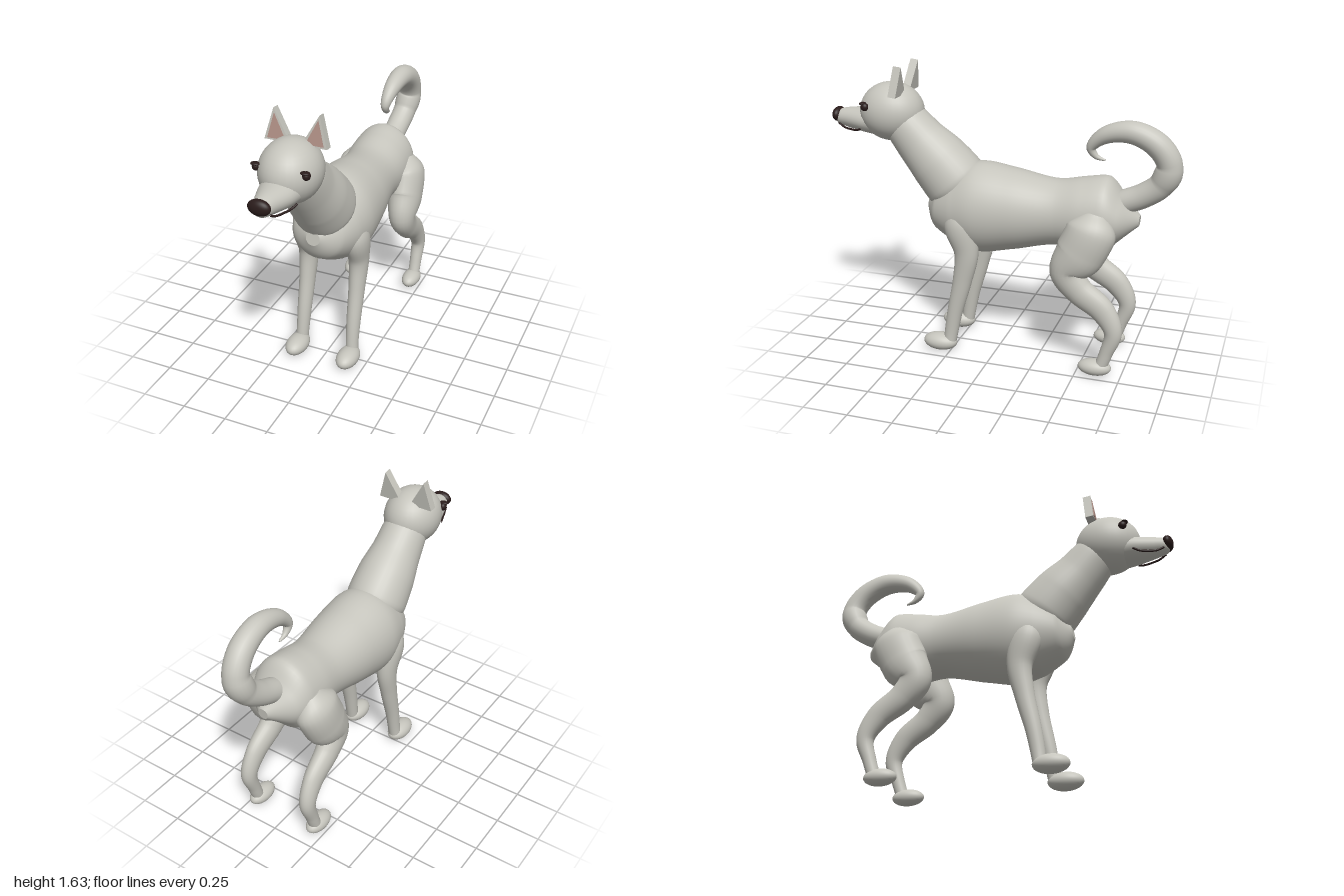
import * as THREE from 'three';

const fur = new THREE.MeshStandardMaterial({ color: 0xc6c5bd });
fur.name = 'grey fur';
const pink = new THREE.MeshStandardMaterial({ color: 0xb5948a });
pink.name = 'inner ear pink';
const dark = new THREE.MeshStandardMaterial({ color: 0x2a1c1b });
dark.name = 'dark brown';

// Smooth skin through sections [x, y, z, halfWidth, halfHeight], with closed ends
function loft(sections, steps = 48, sides = 32) {
  const path = new THREE.CatmullRomCurve3(sections.map(s => new THREE.Vector3(s[0], s[1], s[2])));
  const size = new THREE.CatmullRomCurve3(sections.map(s => new THREE.Vector3(s[3], s[4] ?? s[3], 0)));
  const pos = [], index = [];
  const ring = t => {
    const c = path.getPoint(t), r = size.getPoint(t), tan = path.getTangent(t);
    const up = new THREE.Vector3().crossVectors(tan, new THREE.Vector3(1, 0, 0)).normalize();
    const side = new THREE.Vector3().crossVectors(up, tan).normalize();
    for (let j = 0; j < sides; j++) {
      const a = j / sides * Math.PI * 2;
      const p = c.clone().addScaledVector(side, Math.max(r.x, 0.002) * Math.cos(a))
        .addScaledVector(up, Math.max(r.y, 0.002) * Math.sin(a));
      pos.push(p.x, p.y, p.z);
    }
    return c;
  };
  for (let i = 0; i <= steps; i++) ring(i / steps);
  for (let i = 0; i < steps; i++) for (let j = 0; j < sides; j++) {
    const k = (j + 1) % sides;
    const a = i * sides + j, b = i * sides + k, c = a + sides, d = b + sides;
    index.push(a, b, d, a, d, c);
  }
  for (const t of [0, 1]) {
    const base = pos.length / 3, c = ring(t), mid = pos.length / 3;
    pos.push(c.x, c.y, c.z);
    for (let j = 0; j < sides; j++) {
      const a = base + j, b = base + (j + 1) % sides;
      if (t) index.push(mid, a, b); else index.push(mid, b, a);
    }
  }
  const g = new THREE.BufferGeometry();
  g.setAttribute('position', new THREE.Float32BufferAttribute(pos, 3));
  g.setIndex(index);
  g.computeVertexNormals();
  return g;
}

export function createModel() {
  const dog = new THREE.Group();
  dog.name = 'dog';
  const add = (name, geometry, material = fur) => {
    const m = new THREE.Mesh(geometry, material);
    m.name = name;
    dog.add(m);
    return m;
  };
  const ball = (name, p, r, material = fur) => {
    const m = add(name, new THREE.SphereGeometry(1, 32, 20), material);
    m.position.set(...p);
    m.scale.set(...r);
    return m;
  };

  // Body, from rump to chest
  add('torso', loft([
    [0, 0.86, -0.785, 0.03, 0.03], [0, 0.865, -0.69, 0.145, 0.125],
    [0, 0.87, -0.59, 0.185, 0.222], [0, 0.87, -0.48, 0.185, 0.205],
    [0, 0.865, -0.34, 0.175, 0.184], [0, 0.857, -0.1, 0.208, 0.228],
    [0, 0.85, 0.1, 0.225, 0.26], [0, 0.84, 0.24, 0.2, 0.215],
    [0, 0.84, 0.35, 0.145, 0.14], [0, 0.85, 0.415, 0.04, 0.04],
  ], 72, 40));
  add('neck', loft([
    [0, 0.89, 0.19, 0.11, 0.1], [0, 0.985, 0.265, 0.17, 0.183], [0, 1.09, 0.36, 0.163, 0.172],
    [0, 1.19, 0.46, 0.14, 0.148], [0, 1.29, 0.55, 0.128, 0.13], [0, 1.36, 0.62, 0.1, 0.1],
  ]));

  // Head
  ball('head', [0, 1.358, 0.635], [0.16, 0.166, 0.185]);
  add('snout', loft([
    [0, 1.3, 0.68, 0.115, 0.09], [0, 1.3, 0.8, 0.098, 0.072],
    [0, 1.303, 0.9, 0.066, 0.057], [0, 1.305, 0.955, 0.048, 0.045], [0, 1.31, 0.975, 0.025, 0.025],
  ], 24));
  ball('nose', [0, 1.317, 0.968], [0.06, 0.042, 0.031], dark);

  // Curled tail
  add('tail', loft([
    [0, 0.955, -0.69, 0.066], [0.005, 1.005, -0.8, 0.067], [0.015, 1.08, -0.895, 0.068],
    [0.028, 1.185, -0.932, 0.068], [0.038, 1.29, -0.87, 0.067], [0.042, 1.352, -0.735, 0.061],
    [0.038, 1.325, -0.59, 0.046], [0.03, 1.25, -0.515, 0.027], [0.027, 1.205, -0.54, 0.016],
    [0.026, 1.185, -0.592, 0.005],
  ], 72, 24));

  for (const s of [1, -1]) {
    const name = s > 0 ? 'left' : 'right';

    // Legs and paws
    add(name + 'FrontLeg', loft([
      [s * 0.13, 0.86, 0.2, 0.06, 0.06], [s * 0.15, 0.77, 0.185, 0.072, 0.092],
      [s * 0.152, 0.62, 0.15, 0.056, 0.07], [s * 0.152, 0.45, 0.175, 0.046, 0.055],
      [s * 0.153, 0.25, 0.222, 0.04, 0.044], [s * 0.155, 0.12, 0.245, 0.036, 0.039],
      [s * 0.158, 0.05, 0.255, 0.036, 0.036],
    ], 40, 24));
    ball(name + 'FrontPaw', [s * 0.158, 0.055, 0.312], [0.062, 0.051, 0.1]);
    add(name + 'HindLeg', loft([
      [s * 0.13, 0.91, -0.575, 0.06, 0.07], [s * 0.165, 0.82, -0.555, 0.1, 0.137],
      [s * 0.175, 0.7, -0.5, 0.1, 0.135], [s * 0.185, 0.595, -0.435, 0.078, 0.094],
      [s * 0.19, 0.5, -0.5, 0.062, 0.08], [s * 0.195, 0.4, -0.635, 0.05, 0.07],
      [s * 0.2, 0.28, -0.703, 0.043, 0.05], [s * 0.2, 0.15, -0.67, 0.036, 0.037],
      [s * 0.2, 0.06, -0.64, 0.035, 0.035],
    ], 64, 24));
    ball(name + 'HindPaw', [s * 0.198, 0.055, -0.607], [0.054, 0.046, 0.093]);

    // Ears with pink inner plates
    const triangle = pts => new THREE.Shape(pts.map(p => new THREE.Vector2(s * p[0], p[1])));
    const ear = new THREE.Group();
    ear.name = name + 'Ear';
    const outer = new THREE.Mesh(new THREE.ExtrudeGeometry(
      triangle([[0.03, 0], [0.167, 0], [0.122, 0.164]]), { depth: 0.045, bevelEnabled: false }), fur);
    outer.name = name + 'EarShell';
    const inner = new THREE.Mesh(new THREE.ExtrudeGeometry(
      triangle([[0.052, 0.01], [0.15, 0.01], [0.117, 0.138]]), { depth: 0.004, bevelEnabled: false }), pink);
    inner.name = name + 'InnerEar';
    inner.position.z = 0.045;
    ear.add(outer, inner);
    ear.position.set(0, 1.467, 0.543);
    ear.rotation.x = -0.12;
    dog.add(ear);

    // Eyes with a short lash, and the mouth line
    ball(name + 'Eye', [s * 0.133, 1.4, 0.742], [0.02, 0.023, 0.023], dark);
    ball(name + 'Lash', [s * 0.131, 1.419, 0.755], [0.024, 0.008, 0.018], dark);
    const lip = [[0.042, 1.275, 0.95], [0.054, 1.255, 0.91], [0.071, 1.25, 0.86], [0.086, 1.252, 0.82], [0.102, 1.266, 0.785]];
    add(name + 'Mouth', new THREE.TubeGeometry(
      new THREE.CatmullRomCurve3(lip.map(p => new THREE.Vector3(s * p[0], p[1], p[2]))), 20, 0.006, 8), dark);
  }
  return dog;
}
